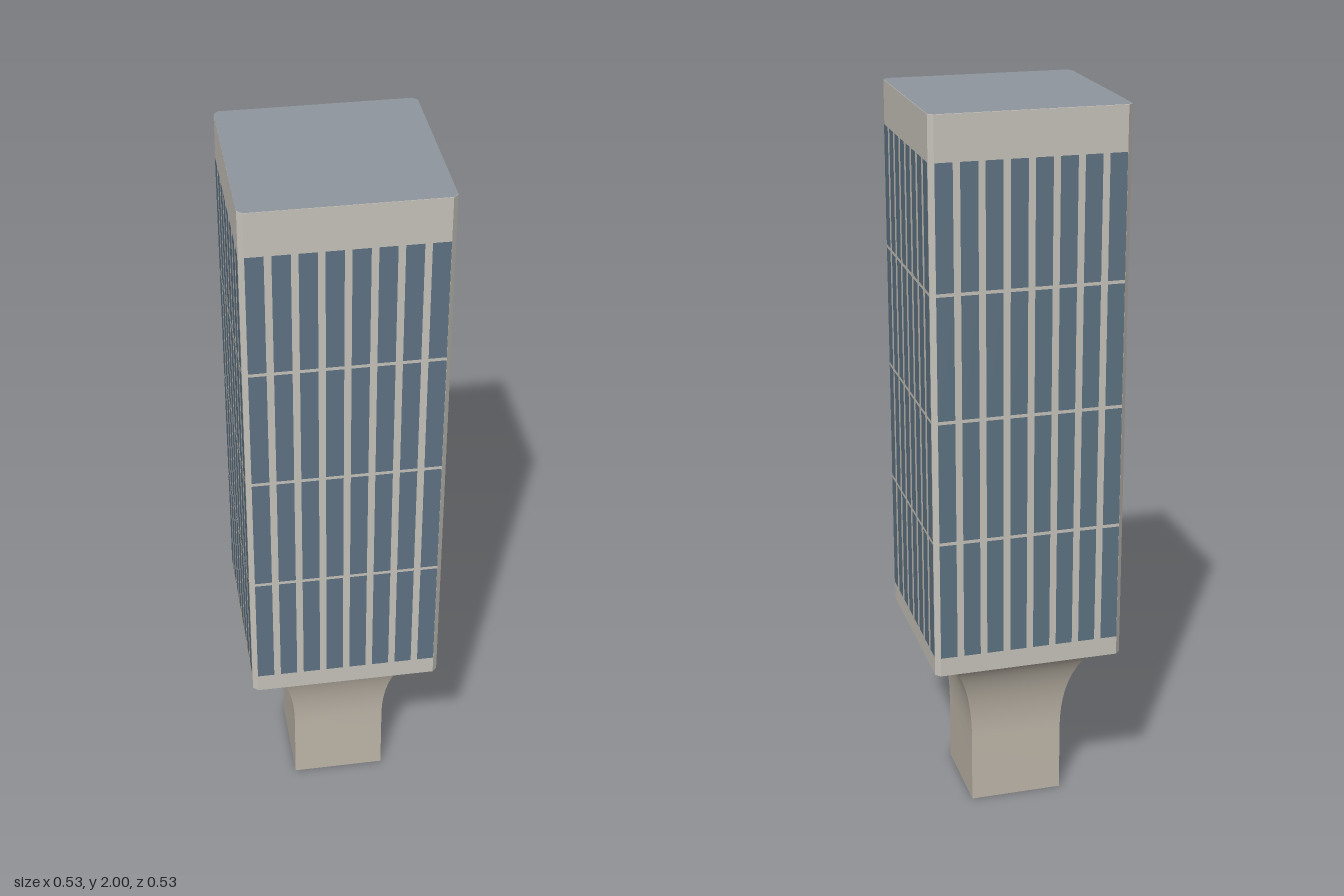
import * as THREE from 'three';
import { toCreasedNormals } from 'three/addons/utils/BufferGeometryUtils.js';

const HALF = 0.262, CHAMFER = 0.013, BASE_Y = 0.48, TOP_Y = 2;

const material = (color, side = THREE.FrontSide) => new THREE.MeshStandardMaterial({ color, side });

function addMesh(parent, name, geometry, mat) {
  const mesh = new THREE.Mesh(geometry, mat);
  mesh.name = name;
  parent.add(mesh);
  return mesh;
}

// Square floor plan with clipped corners
function towerPlan() {
  const a = HALF, b = HALF - CHAMFER;
  return new THREE.Shape([[a, -b], [a, b], [b, a], [-b, a], [-a, b], [-a, -b], [-b, -a], [b, -a]]
    .map(([x, y]) => new THREE.Vector2(x, y)));
}

export function createModel() {
  const model = new THREE.Group();
  model.name = 'tower';
  const concrete = material(0xc8c4bc);
  const stone = material(0xc0b8ab, THREE.DoubleSide);
  const glass = material(0x5f7384);
  const roofGrey = material(0x8f979e);

  // Hollow square pedestal: straight foot, then a quarter-ellipse flare
  const profile = [new THREE.Vector2(0.13, 0)];
  const steps = 20;
  for (let i = 0; i <= steps; i++) {
    const t = (i / steps) * Math.PI / 2;
    profile.push(new THREE.Vector2(0.25 - 0.12 * Math.cos(t), 0.2 + 0.28 * Math.sin(t)));
  }
  profile.forEach((p) => { p.x *= Math.SQRT2; });
  const flare = new THREE.LatheGeometry(profile, 4).rotateY(Math.PI / 4);
  addMesh(model, 'pedestal', toCreasedNormals(flare, 0.6), stone);

  // Tower block and roof
  const body = new THREE.ExtrudeGeometry(towerPlan(), { depth: TOP_Y - 0.001 - BASE_Y, bevelEnabled: false });
  body.rotateX(-Math.PI / 2).translate(0, BASE_Y, 0);
  addMesh(model, 'towerBlock', body, concrete);
  const roof = new THREE.ShapeGeometry(towerPlan()).rotateX(-Math.PI / 2).translate(0, TOP_Y, 0);
  addMesh(model, 'roof', roof, roofGrey);

  // Window grid: eight columns by four rows on each facade
  const paneW = 0.046, pitchX = 0.0644, paneH = 0.33, pitchY = 0.339, firstY = 0.534;
  const pane = new THREE.PlaneGeometry(paneW, paneH);
  ['front', 'left', 'back', 'right'].forEach((side, k) => {
    const facade = new THREE.Group();
    facade.name = side + 'Windows';
    facade.rotation.y = k * Math.PI / 2;
    for (let row = 0; row < 4; row++) {
      for (let col = 0; col < 8; col++) {
        addMesh(facade, 'windowPane', pane, glass)
          .position.set((col - 3.5) * pitchX, firstY + paneH / 2 + row * pitchY, HALF + 0.001);
      }
    }
    model.add(facade);
  });

  return model;
}
